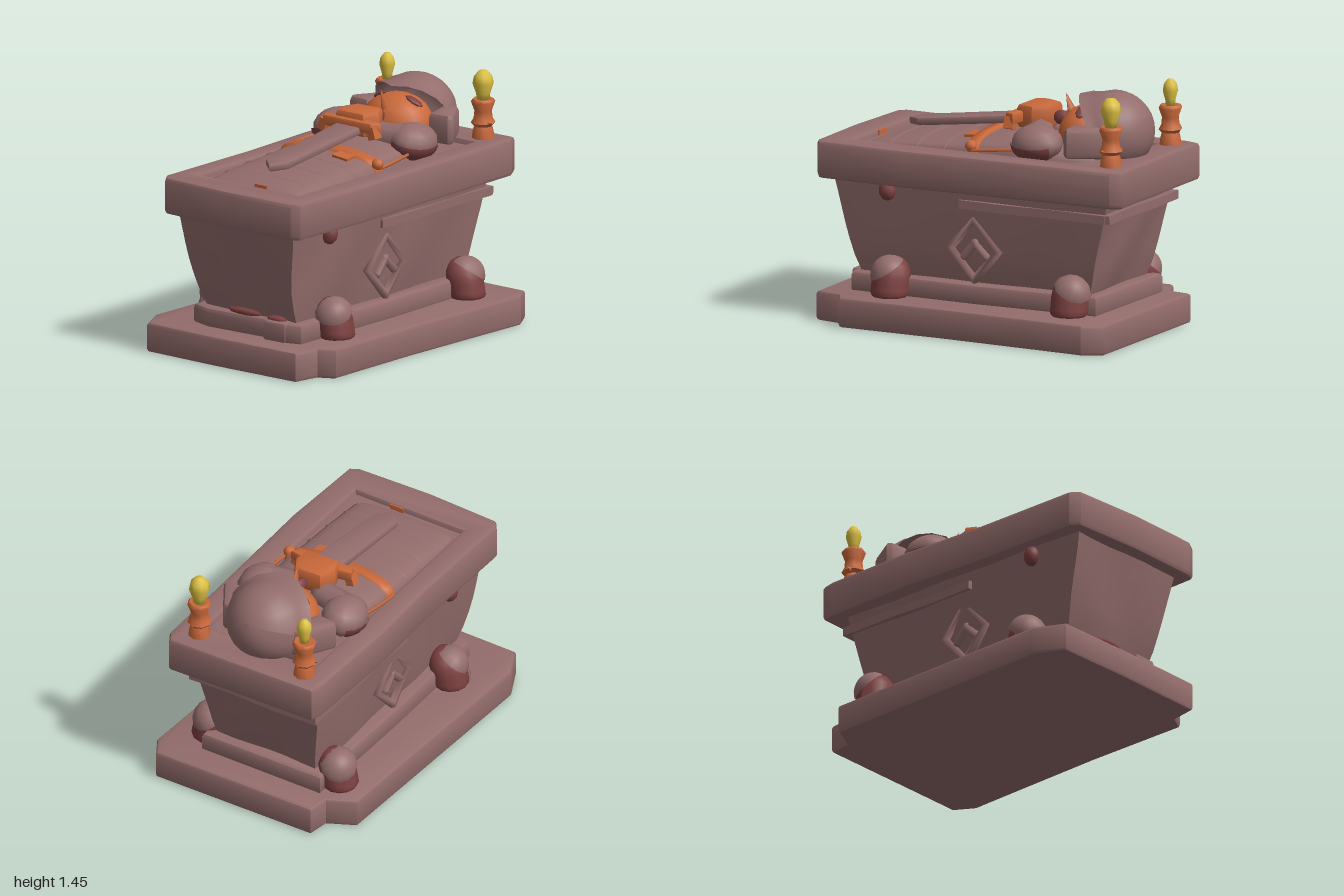
import * as THREE from 'three';
import { toCreasedNormals } from 'three/addons/utils/BufferGeometryUtils.js';

const mat = (name, color) => Object.assign(new THREE.MeshStandardMaterial({ color }), { name });

export function createModel() {
  const root = new THREE.Group();
  root.name = 'stoneTomb';
  const stone = mat('stone', 0x936d6c);
  const stoneShell = mat('stone open surface', 0x936d6c);
  stoneShell.side = THREE.DoubleSide;
  const orange = mat('orange', 0xc9683a);
  const yellow = mat('flame yellow', 0xdcc040);
  const red = mat('dark red', 0x7c4040);

  const add = (name, geo, material, pos = [0, 0, 0], rot = [0, 0, 0], scale = [1, 1, 1]) => {
    const m = new THREE.Mesh(geo, material);
    m.name = name;
    m.position.set(...pos);
    m.rotation.set(...rot);
    m.scale.set(...scale);
    root.add(m);
    return m;
  };
  const crease = (g, a = 0.6) => toCreasedNormals(g, a);

  // Uneven hewn surface: a smooth offset that depends only on position
  const hew = (g, amp) => {
    const p = g.attributes.position;
    for (let i = 0; i < p.count; i++) {
      const x = p.getX(i), y = p.getY(i), z = p.getZ(i);
      p.setXYZ(i, x + amp * Math.sin(9 * z + 7 * y), y, z + amp * Math.sin(11 * x + 8 * y));
    }
    return g;
  };

  // Bevelled slab from an outline of [x, z] points, with an optional hole
  const slab = (pts, y0, y1, bevel, hole) => {
    const v = (a) => a.map(([x, z]) => new THREE.Vector2(x, -z));
    const shape = new THREE.Shape(v(pts));
    if (hole) shape.holes.push(new THREE.Path(v(hole)));
    const g = new THREE.ExtrudeGeometry(shape, {
      depth: y1 - y0 - 2 * bevel, bevelSize: bevel, bevelOffset: -bevel, bevelThickness: bevel, bevelSegments: 2,
    });
    return crease(g.rotateX(-Math.PI / 2).translate(0, y0 + bevel, 0), 0.5);
  };

  // Arched cover lofted along z from stations [z, half width, top], optionally bowed towards +z
  const arch = (stations, floor, bow = 0) => {
    const n = 14, g = new THREE.PlaneGeometry(1, 1, n, stations.length - 1), p = g.attributes.position;
    stations.forEach(([z, w, top], r) => {
      for (let c = 0; c <= n; c++) {
        const a = (Math.PI * c) / n, s = Math.abs(Math.sin(a));
        p.setXYZ(r * (n + 1) + c, -w * Math.cos(a), floor + (top - floor) * Math.pow(s, 0.5), z + bow * s);
      }
    });
    g.computeVertexNormals();
    return g;
  };

  // Foot: round top, straight sides, sole splayed outwards
  const footShape = (side) => {
    const g = new THREE.SphereGeometry(1, 12, 10), p = g.attributes.position;
    for (let i = 0; i < p.count; i++) {
      const y = p.getY(i), k = y < 0 ? 1 / Math.max(0.35, Math.sqrt(1 - y * y)) : 1;
      p.setXYZ(i, p.getX(i) * k - side * 0.2 * y, y, p.getZ(i) * k);
    }
    g.computeVertexNormals();
    return g;
  };

  // Base and plinth
  add('base', slab([[-0.62, -0.73], [-0.46, -0.81], [-0.44, -0.94], [0.6, -0.95], [0.67, -0.83], [0.655, -0.5], [0.63, 0.1],
    [0.625, 0.76], [0.53, 0.81], [0.5, 0.97], [-0.1, 0.985], [-0.59, 0.98], [-0.675, 0.8], [-0.65, 0.1]], 0, 0.175, 0.02), stone);
  add('plinth', slab([[-0.4, -0.78], [0.4, -0.78], [0.42, 0], [0.4, 0.8], [0.31, 0.83], [0.28, 0.8], [-0.27, 0.83],
    [-0.4, 0.79], [-0.41, 0]], 0.16, 0.285, 0.025), stone);
  add('plinthBlock', slab([[0.16, 0.72], [0.31, 0.72], [0.31, 0.84], [0.16, 0.845]], 0.17, 0.287, 0.015), stone);

  // Tapered chest
  const chest = new THREE.BoxGeometry(2, 1, 2, 6, 6, 10);
  const cp = chest.attributes.position;
  for (let i = 0; i < cp.count; i++) {
    const t = cp.getY(i) + 0.5, k = Math.pow(t, 0.8), z = cp.getZ(i);
    cp.setXYZ(i, cp.getX(i) * (0.33 + 0.085 * k), 0.27 + 0.58 * t, z * (0.735 + 0.145 * k) + 0.03);
  }
  add('chest', crease(hew(chest, 0.008), 0.7), stone);

  // Lid rim, its floor and the moulding under it
  add('lidRim', slab([[-0.47, -0.98], [0, -0.99], [0.48, -1], [0.52, -0.93], [0.53, -0.3], [0.545, 0.4], [0.52, 0.95], [0.47, 0.98],
    [0, 0.995], [-0.46, 0.975], [-0.5, 0.92], [-0.49, 0.2], [-0.51, -0.3], [-0.49, -0.9]], 0.83, 1.05, 0.025,
    [[-0.35, -0.77], [-0.35, 0.79], [0.37, 0.79], [0.37, -0.77]]), stone);
  add('lidFloor', new THREE.BoxGeometry(0.78, 0.12, 1.62), stone, [0.01, 0.955, 0]);
  for (const s of [-1, 1])
    add('sideMoulding', hew(new THREE.BoxGeometry(0.05, 0.05, 0.95, 1, 1, 6), 0.006), stone, [s * 0.4, 0.745, -0.38]);
  add('backMoulding', hew(new THREE.BoxGeometry(0.85, 0.05, 0.07, 6, 1, 1), 0.006), stone, [0, 0.745, -0.84]);

  // Side ornaments, knobs and feet
  for (const s of [-1, 1]) {
    const ornament = new THREE.Group();
    ornament.name = 'sideOrnament';
    ornament.position.set(s * 0.368, 0.48, 0.02);
    ornament.rotation.set(0, s * Math.PI / 2, 0);
    ornament.add(new THREE.Mesh(new THREE.TorusGeometry(0.16, 0.032, 6, 4).scale(0.98, 1.08, 0.9), stone));
    for (const [a, x] of [[-0.7, -0.03], [0.8, 0.04]]) {
      const bar = new THREE.Mesh(new THREE.CapsuleGeometry(0.025, 0.11, 2, 6), stone);
      bar.rotation.z = a;
      bar.position.x = x;
      ornament.add(bar);
    }
    ornament.children.forEach((c) => { c.name = 'ornamentRidge'; });
    root.add(ornament);
    add('knob', new THREE.IcosahedronGeometry(0.05, 1), red, [s * 0.41, 0.78, 0.56], [0, 0, 0], [1, 1.25, 1]);
    for (const [z, d] of [[0.53, 1], [-0.63, -1]]) {
      add('foot', footShape(s), red, [s * 0.42, 0.285, z], [0, 0, 0], [0.108, 0.118, 0.112]);
      // Stone cap leaning outwards and to the near end of the tomb
      add('footCap', new THREE.SphereGeometry(1, 12, 6, 0, Math.PI * 2, 0, 1.2), stone,
        [s * 0.42, 0.285, z], [d * 0.5, 0, s > 0 ? -0.3 : 0.5], [0.115, 0.126, 0.12]);
    }
  }
  add('footFlank', new THREE.IcosahedronGeometry(1, 1), stone, [-0.475, 0.23, 0.55], [0, 0, -0.35], [0.05, 0.12, 0.1]);
  add('frontStain', new THREE.SphereGeometry(1, 10, 6), red, [-0.03, 0.295, 0.785], [0, 0, 0], [0.12, 0.022, 0.03]);
  add('frontStain', new THREE.SphereGeometry(1, 10, 6), red, [0.21, 0.29, 0.785], [0, 0, 0], [0.07, 0.02, 0.03]);

  // Lying body with cloth folds and belt
  add('body', arch([[-0.65, 0.18, 1.08], [-0.42, 0.33, 1.13], [-0.15, 0.34, 1.14], [0, 0.35, 1.125], [0.2, 0.345, 1.1],
    [0.45, 0.34, 1.08], [0.7, 0.33, 1.05], [0.78, 0.32, 1.01]], 0.99), stoneShell);
  for (const [z, w, top] of [[0.24, 0.35, 1.105], [0.42, 0.345, 1.092], [0.6, 0.338, 1.07]])
    add('clothFold', arch([[z - 0.04, w - 0.02, top - 0.02], [z, w, top], [z + 0.02, w - 0.02, top - 0.02]], 0.99), stoneShell);
  add('belt', arch([[0, 0.34, 1.1], [0.01, 0.36, 1.14], [0.07, 0.36, 1.135], [0.08, 0.34, 1.09]], 0.99, 0.03), orange);
  add('beltTail', new THREE.BoxGeometry(0.11, 0.03, 0.08), orange, [0.16, 1.1, 0.13], [0.1, 0, -0.1]);
  add('beltKnot', new THREE.IcosahedronGeometry(0.035, 1), orange, [0.345, 1.075, 0.055]);
  add('hemPatch', new THREE.BoxGeometry(0.09, 0.03, 0.009), orange, [0.08, 1.04, 0.772]);
  for (const s of [-1, 1])
    add('sideTrim', new THREE.TubeGeometry(new THREE.QuadraticBezierCurve3(new THREE.Vector3(s * 0.34, 1.08, -0.25),
      new THREE.Vector3(s * 0.37, 1.07, -0.1), new THREE.Vector3(s * 0.36, 1.05, 0.05)), 6, 0.01, 5), orange);

  // Arms and shoulders
  for (const s of [-1, 1]) {
    add('shoulder', new THREE.SphereGeometry(1, 12, 8), stone, [s * 0.285, 1.12, -0.34], [0, 0, s * -0.25], [0.13, 0.105, 0.155]);
    add('shoulderPatch', new THREE.SphereGeometry(1, 8, 5, s > 0 ? 1.2 : -0.9, 2.85, 1.45, 0.9), red,
      [s * 0.288, 1.12, -0.337], [0, 0, s * -0.25], [0.132, 0.107, 0.157]);
    add('forearm', new THREE.CapsuleGeometry(0.085, 0.14, 3, 8), stone, [s * 0.17, 1.135, -0.28], [0, s * 0.2, Math.PI / 2]);
  }

  // Head and nose
  add('face', new THREE.SphereGeometry(1, 14, 10), orange, [0, 1.15, -0.54], [0, 0, 0], [0.22, 0.17, 0.185]);
  add('nose', new THREE.ConeGeometry(0.035, 0.14, 5), orange, [0.01, 1.305, -0.4], [0.35, 0, 0], [0.9, 1, 1]);
  for (const s of [-1, 1])
    add('eye', new THREE.SphereGeometry(1, 8, 6), red, [s * 0.125, 1.289, -0.535], [0.1, s * 0.25, s * -0.5], [0.06, 0.014, 0.03]);

  // Helmet: open shell with a flared brim, swept back at the sides and pointed over the brow
  const dome = new THREE.SphereGeometry(1, 20, 10, 0, Math.PI * 2, 0, 1.83);
  const dp = dome.attributes.position;
  for (let i = 0; i < dp.count; i++) {
    const x = dp.getX(i), y = dp.getY(i), f = y < -0.15 ? 1.17 : y < 0 ? 1.05 : 1;
    const edge = THREE.MathUtils.clamp((0.5 - y) / 0.76, 0, 1);
    dp.setXYZ(i, x * f, y + edge * (0.48 * Math.abs(x) - 0.18), dp.getZ(i) * f);
  }
  dome.rotateX(-1.13).scale(0.245, 0.235, 0.24);
  dome.computeVertexNormals();
  add('helmet', dome, stoneShell, [0.01, 1.175, -0.68]);
  for (const s of [-1, 1]) {
    const flap = [[0.16, -0.78], [0.27, -0.76], [0.38, -0.58], [0.36, -0.55], [0.23, -0.54]].map(([x, z]) => [s * x, z]);
    add('helmetFlap', slab(s > 0 ? flap : flap.reverse(), 1.06, 1.24, 0.03), stone);
  }

  // Sword resting on the body
  add('blade', slab([[-0.08, -0.1], [0.1, -0.1], [0.09, 0.54], [0.02, 0.63], [-0.06, 0.56]], 0, 0.045, 0.012),
    stone, [0, 1.165, 0], [0.125, 0, 0]);
  add('swordGuard', slab([[-0.2, -0.14], [-0.11, -0.155], [0.11, -0.155], [0.21, -0.14], [0.18, -0.08], [-0.17, -0.08]],
    1.19, 1.255, 0.012), orange);
  for (const s of [-1, 1])
    add('guardTip', new THREE.BoxGeometry(0.05, 0.07, 0.06), orange, [s * 0.18, 1.195, -0.11], [0, 0, s * 0.3]);
  add('hands', slab([[-0.13, -0.2], [-0.09, -0.3], [0.08, -0.31], [0.13, -0.22], [0.1, -0.11], [-0.1, -0.11]],
    1.15, 1.295, 0.03), orange);
  add('pommel', new THREE.IcosahedronGeometry(0.05, 1), red, [0.01, 1.22, -0.35], [0, 0, 0], [0.7, 0.9, 1]);

  // Candles with dripping wax and flames
  const wax = [[0, 0], [0.066, 0], [0.06, 0.05], [0.052, 0.08], [0.07, 0.1], [0.054, 0.13], [0.05, 0.17], [0.07, 0.225], [0.06, 0.24], [0, 0.23]];
  const fire = [[0, 0], [0.03, 0], [0.036, 0.04], [0.053, 0.095], [0.046, 0.135], [0.022, 0.163], [0, 0.166]];
  const lathe = (pts, n) => new THREE.LatheGeometry(pts.map(([x, y]) => new THREE.Vector2(x, y)), n);
  for (const [x, k] of [[-0.345, 0.85], [0.365, 1.15]]) {
    add('candle', crease(lathe(wax, 8), 0.9), orange, [x, 1.04, -0.86]);
    add('waxDrip', new THREE.ConeGeometry(0.025, 0.07, 5), orange, [x + Math.sign(x) * 0.05, 1.14, -0.84], [0, 0, -Math.sign(x) * 1.3]);
    add('flame', lathe(fire, 8), yellow, [x, 1.27, -0.86], [0, 0, 0], [k, k > 1 ? 1.06 : 0.96, k]);
  }
  return root;
}
